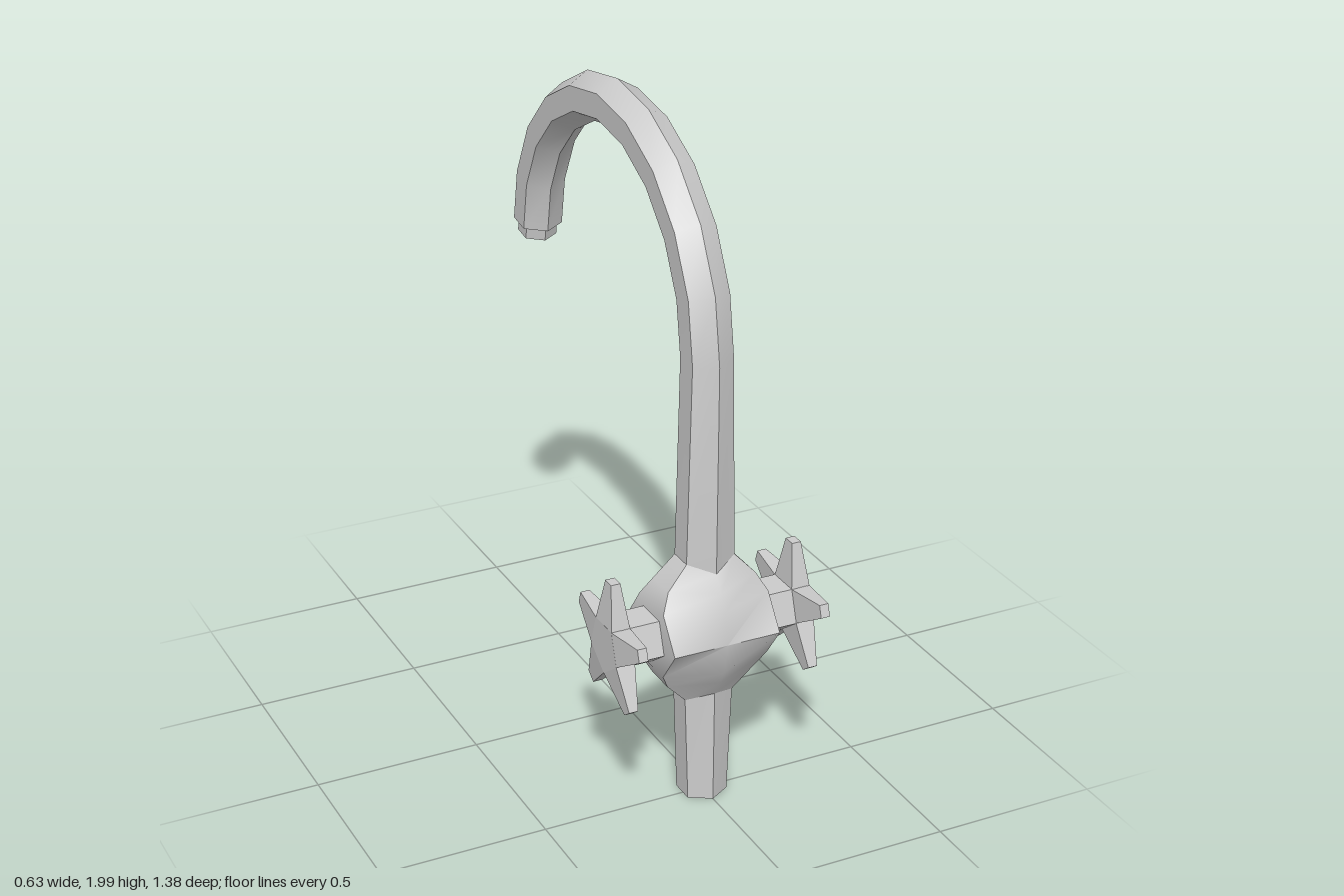
import * as THREE from 'three';
import { toCreasedNormals } from 'three/addons/utils/BufferGeometryUtils.js';

const Z = 0.495;          // depth of the upright column
const HUB_Y = 0.546;      // height of the valve axis
const R = 0.073;          // pipe radius, ridge to centre
const material = new THREE.MeshStandardMaterial({ color: 0xcccccc });

// Joins six-point rings into a skin, optionally closing either end
function loft(rings, capStart, capEnd) {
  const pos = [], idx = [], n = 6;
  rings.forEach(ring => ring.forEach(p => pos.push(p.x, p.y, p.z)));
  for (let i = 0; i < rings.length - 1; i++) {
    for (let j = 0; j < n; j++) {
      const a = i * n + j, b = i * n + (j + 1) % n;
      idx.push(a, b, b + n, a, b + n, a + n);
    }
  }
  const last = (rings.length - 1) * n;
  for (let j = 1; j < n - 1; j++) {
    if (capStart) idx.push(0, j + 1, j);
    if (capEnd) idx.push(last, last + j, last + j + 1);
  }
  const g = new THREE.BufferGeometry();
  g.setAttribute('position', new THREE.Float32BufferAttribute(pos, 3));
  g.setIndex(idx);
  return toCreasedNormals(g, 0.75);
}

// Ring with front/back ridges (depth ridge) and four corners (halfX, corner).
// It is centred at (y, z), tilted about x; lift shifts the ridges vertically.
function ring(y, z, halfX, ridge, corner, tilt = 0, lift = 0) {
  return [[0, ridge], [halfX, corner], [halfX, -corner], [0, -ridge], [-halfX, -corner], [-halfX, corner]]
    .map(([x, d]) => new THREE.Vector3(
      x,
      y + d * Math.sin(tilt) + (x === 0 ? lift : 0),
      z + d * Math.cos(tilt)));
}

function add(parent, name, geometry) {
  const mesh = new THREE.Mesh(geometry, material);
  mesh.name = name;
  parent.add(mesh);
  return mesh;
}

function spoutGeometry() {
  const rings = [ring(0.765, Z, 0.075, R, R / 2, 0, -0.03)];
  const radius = 0.555, cy = 1.36, cz = Z - radius;
  const place = (deg, tiltDeg, s = 1, back = 0) => {
    const a = THREE.MathUtils.degToRad(deg), t = THREE.MathUtils.degToRad(tiltDeg);
    // back moves the ring up inside the pipe
    return ring(cy + radius * Math.sin(a) - back * Math.cos(t),
      cz + radius * Math.cos(a) + back * Math.sin(t),
      0.063 * s, R * s, R / 2 * s, t);
  };
  for (let i = 0; i < 10; i++) rings.push(place(i * 18, i * 18));
  // outlet: outer edge, rim, recessed inside
  rings.push(place(178, 170), place(178, 170, 0.8), place(178, 170, 0.8, -0.04));
  return loft(rings, false, true);
}

// Five-armed cross handle on a pentagonal stem, pointing along +x
function makeHandle(name) {
  const handle = new THREE.Group();
  handle.name = name;
  const r = 0.085, apothem = r * Math.cos(Math.PI / 5);

  const stem = new THREE.CylinderGeometry(r, r, 0.163, 5).toNonIndexed();
  stem.rotateZ(-Math.PI / 2);          // axis to x
  stem.computeVertexNormals();
  // turn so that one flat side faces up
  const p = stem.attributes.position;
  let start = 0;
  for (let i = 0; i < p.count; i++) {
    if (Math.hypot(p.getY(i), p.getZ(i)) > r * 0.9) { start = Math.atan2(p.getZ(i), p.getY(i)); break; }
  }
  stem.rotateX(Math.PI / 5 - start);
  stem.translate(0.2315, 0, 0);
  add(handle, 'handleStem', stem);

  const length = 0.131;
  for (let i = 0; i < 5; i++) {
    const arm = new THREE.BoxGeometry(0.058, length, 2 * r * Math.sin(Math.PI / 5)).toNonIndexed();
    const q = arm.attributes.position;
    for (let k = 0; k < q.count; k++) {
      if (q.getY(k) > 0) q.setXYZ(k, q.getX(k) * 0.48, q.getY(k), q.getZ(k) * 0.38);
    }
    arm.computeVertexNormals();
    arm.translate(0.284, apothem + length / 2 - 0.002, 0);
    arm.rotateX(i * Math.PI * 2 / 5);
    add(handle, 'handleArm', arm);
  }
  handle.position.set(0, HUB_Y, Z);
  return handle;
}

export function createModel() {
  const model = new THREE.Group();
  model.name = 'faucet';

  // Lower column
  add(model, 'basePipe', loft([
    ring(0, Z, 0.063, R, R / 2),
    ring(0.33, Z, 0.075, R, R / 2, 0, 0.022),
  ], true, false));

  // Swollen valve body: [y, halfX, ridge, corner, lift]
  add(model, 'valveBody', loft([
    [0.33, 0.075, R, R / 2, 0.022],
    [0.395, 0.137, 0.104, 0.048, 0.008],
    [0.448, 0.165, 0.128, 0.075, 0],
    [HUB_Y, 0.165, 0.147, 0.147, 0],
    [0.645, 0.165, 0.128, 0.075, 0],
    [0.698, 0.137, 0.104, 0.048, -0.01],
    [0.765, 0.075, R, R / 2, -0.03],
  ].map(([y, x, d, c, lift]) => ring(y, Z, x, d, c, 0, lift)), false, false));

  // Gooseneck
  add(model, 'spout', spoutGeometry());

  // Handles on both sides; the right one is turned half round about y
  model.add(makeHandle('leftHandle'));
  const right = makeHandle('rightHandle');
  right.rotation.y = Math.PI;
  model.add(right);

  return model;
}
